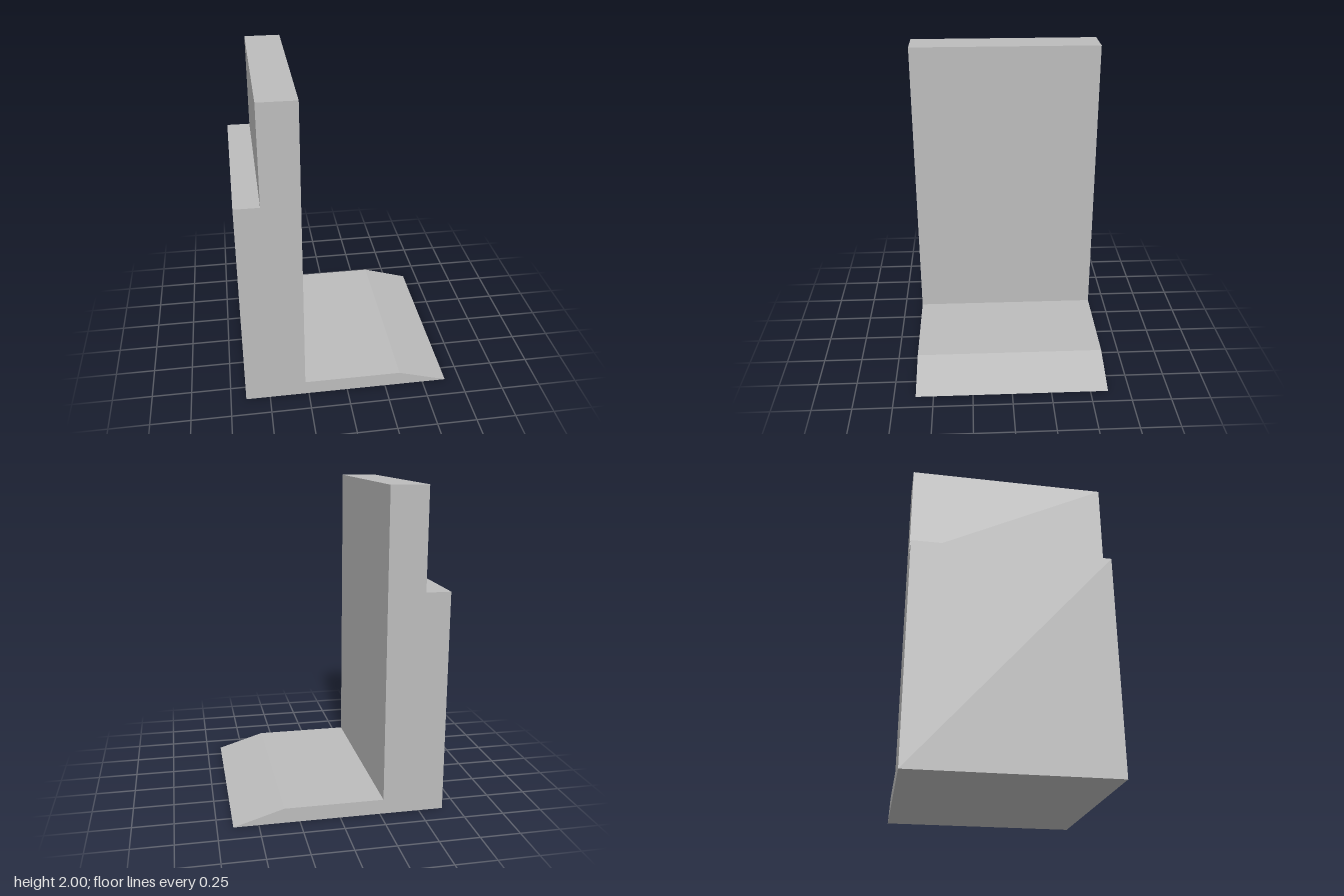
import * as THREE from 'three';

const WIDTH = 1.226;

export function createModel() {
  const model = new THREE.Group();
  const grey = new THREE.MeshStandardMaterial({ color: 0xbcbcbc });
  grey.name = 'plain grey';

  // Side outline: stepped upright wall with a foot tapering to a thin edge
  const outline = new THREE.Shape([
    [-0.653, 0], [0.653, 0], [0.345, 0.093], [-0.272, 0.093],
    [-0.272, 2], [-0.501, 2], [-0.501, 1.384], [-0.653, 1.384],
  ].map(([x, y]) => new THREE.Vector2(x, y)));

  // Extrude across the depth and centre on z
  const geometry = new THREE.ExtrudeGeometry(outline, { depth: WIDTH, bevelEnabled: false });
  geometry.translate(0, 0, -WIDTH / 2);

  const bracket = new THREE.Mesh(geometry, grey);
  bracket.name = 'steppedBracket';
  model.add(bracket);
  return model;
}
